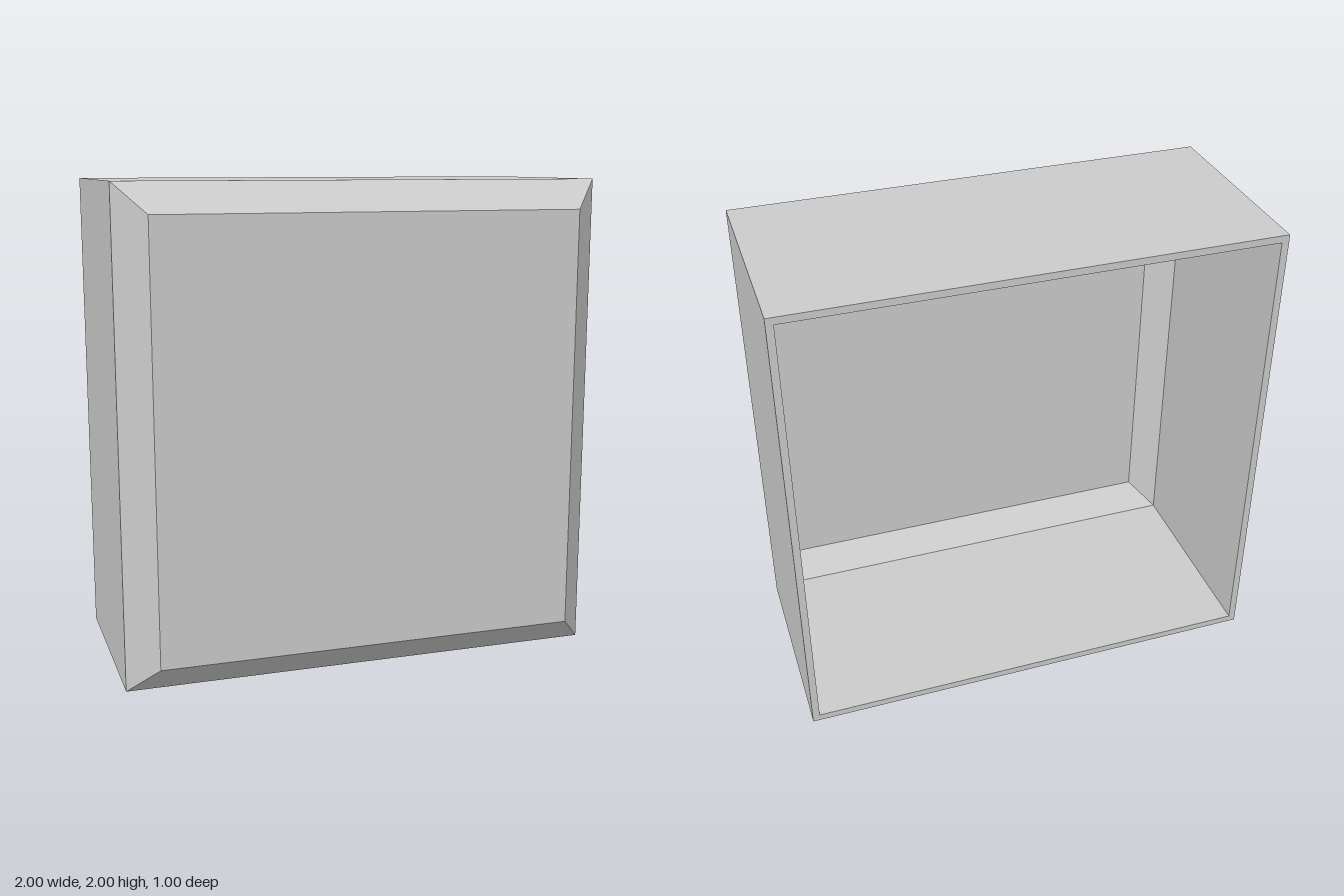
import * as THREE from 'three';

const HALF = 1;        // half width and half height
const DEPTH = 0.5;     // half depth
const BEVEL = 0.12;    // bevel around the front panel
const WALL = 0.03;     // even wall thickness

export function createModel() {
  const group = new THREE.Group();
  group.name = 'openBackedBox';

  // The inner bevel is slightly smaller so the wall keeps its thickness
  const innerBevel = BEVEL - WALL * (2 - Math.SQRT2);
  const innerHalf = HALF - WALL;
  const innerFront = DEPTH - WALL;

  // Cross-section as [half side, depth]: inside from the centre, round the rim, outside back to the centre
  const profile = [
    [0, innerFront],
    [innerHalf - innerBevel, innerFront],
    [innerHalf, innerFront - innerBevel],
    [innerHalf, -DEPTH],
    [HALF, -DEPTH],
    [HALF, DEPTH - BEVEL],
    [HALF - BEVEL, DEPTH],
    [0, DEPTH],
  ].map(([s, d]) => new THREE.Vector2(s * Math.SQRT2, d));

  // Four-sided lathe, turned so its axis runs front to back
  const geometry = new THREE.LatheGeometry(profile, 4, Math.PI / 4).toNonIndexed();
  geometry.rotateX(Math.PI / 2);
  geometry.computeVertexNormals();

  const shell = new THREE.Mesh(
    geometry,
    new THREE.MeshStandardMaterial({ color: 0xcccccc, flatShading: true })
  );
  shell.name = 'bevelledShell';
  shell.position.y = HALF;
  group.add(shell);
  return group;
}
